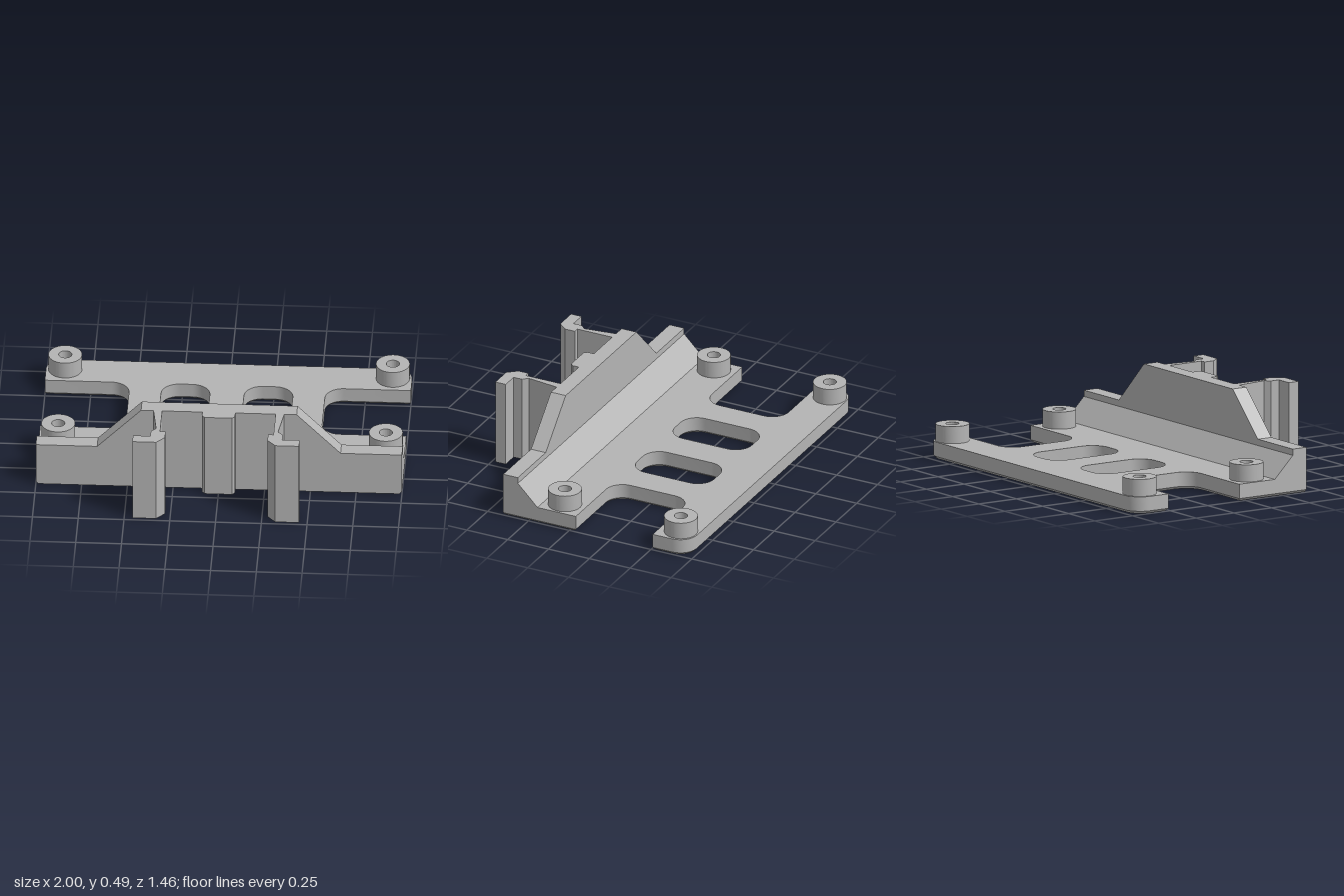
import * as THREE from 'three';
import { toCreasedNormals } from 'three/addons/utils/BufferGeometryUtils.js';

const FRONT = 0.405, PLATE_TOP = 0.095, WALL_TOP = 0.25, TOP = 0.49, CHAMFER = 0.015, HOLE = 0.036;
const POSTS = [[-0.895, -0.63], [0.895, -0.63], [-0.895, 0.08], [0.895, 0.08]];

// Plan outline from [x, z, cornerRadius] points; z is flipped so that the extrusion can be laid flat
function outline(points, path) {
  const v = points.map(([x, z]) => new THREE.Vector2(x, -z));
  const n = v.length;
  v.forEach((p, i) => {
    const r = points[i][2] || 0;
    const toward = (q, d) => p.clone().add(q.clone().sub(p).setLength(d));
    const prev = v[(i + n - 1) % n], next = v[(i + 1) % n];
    const a = r ? toward(prev, r) : p;
    if (i === 0) path.moveTo(a.x, a.y); else path.lineTo(a.x, a.y);
    if (r) {
      const c1 = toward(prev, r * 0.448), c2 = toward(next, r * 0.448), b = toward(next, r);
      path.bezierCurveTo(c1.x, c1.y, c2.x, c2.y, b.x, b.y);
    }
  });
  path.closePath();
  return path;
}

function circleHole(x, z) {
  return new THREE.Path().absarc(x, -z, HOLE, 0, Math.PI * 2, true);
}

// Extrude a plan shape upwards from y0
function layFlat(shape, y0, height, options = {}) {
  const g = new THREE.ExtrudeGeometry(shape, { depth: height, bevelEnabled: false, curveSegments: 12, ...options });
  return g.rotateX(-Math.PI / 2).translate(0, y0, 0);
}

export function createModel() {
  const group = new THREE.Group();
  const grey = new THREE.MeshStandardMaterial({ color: 0xb4b4b4 });
  grey.name = 'grey plastic';
  const add = (name, geometry) => {
    const mesh = new THREE.Mesh(toCreasedNormals(geometry, 0.5), grey);
    mesh.name = name;
    group.add(mesh);
  };

  // Base plate with side notches, slots and screw holes
  const r = 0.1, zb = -0.51, zf = -0.04;
  const plate = outline([
    [-1, FRONT], [1, FRONT], [1, zf], [0.535, zf, r], [0.535, zb, r], [1, zb], [1, -0.73, r],
    [-1, -0.73, r], [-1, zb], [-0.535, zb, r], [-0.535, zf, r], [-1, zf],
  ], new THREE.Shape());
  for (const s of [-1, 1]) {
    plate.holes.push(outline([
      [s * 0.093, zb, r], [s * 0.36, zb, r], [s * 0.36, zf, r], [s * 0.093, zf, r],
    ], new THREE.Path()));
  }
  for (const [x, z] of POSTS) plate.holes.push(circleHole(x, z));
  const split = CHAMFER + 0.002;
  add('basePlate', layFlat(plate, split, PLATE_TOP - split));

  // Chamfered underside; the front edge and the screw holes stay straight
  const under = layFlat(plate, CHAMFER, 0.002, {
    bevelEnabled: true, bevelSegments: 1, bevelSize: CHAMFER, bevelThickness: CHAMFER, bevelOffset: -CHAMFER,
  });
  const pos = under.attributes.position;
  for (let i = 0; i < pos.count; i++) {
    const x = pos.getX(i), z = pos.getZ(i);
    if (z > 0.38) pos.setZ(i, FRONT);
    for (const [px, pz] of POSTS) {
      const d = Math.hypot(x - px, z - pz);
      if (d < 0.065) {
        pos.setX(i, px + (x - px) * HOLE / d);
        pos.setZ(i, pz + (z - pz) * HOLE / d);
      }
    }
  }
  add('plateUnderside', under);

  // Screw posts
  for (const [x, z] of POSTS) {
    const ring = new THREE.Shape().absarc(x, -z, 0.092, 0, Math.PI * 2, false);
    ring.holes.push(circleHole(x, z));
    add('screwPost', layFlat(ring, PLATE_TOP, 0.095, { curveSegments: 32 }));
  }

  // Front wall with a sloped brace behind it
  const side = new THREE.Shape([
    [-FRONT, PLATE_TOP], [-0.195, PLATE_TOP], [-0.315, 0.215], [-0.315, WALL_TOP], [-FRONT, WALL_TOP],
  ].map(p => new THREE.Vector2(...p)));
  add('frontWall', new THREE.ExtrudeGeometry(side, { depth: 2, bevelEnabled: false })
    .rotateY(Math.PI / 2).translate(-1, 0, 0));

  // Raised middle of the wall
  const raised = new THREE.Shape([
    [-0.665, WALL_TOP], [0.665, WALL_TOP], [0.425, TOP], [-0.425, TOP],
  ].map(p => new THREE.Vector2(...p)));
  add('raisedWall', new THREE.ExtrudeGeometry(raised, { depth: FRONT - 0.315, bevelEnabled: false })
    .translate(0, 0, 0.315));

  // Hooked clips, mirrored
  const clip = [
    [0.31, FRONT], [0.357, FRONT], [0.333, 0.588], [0.36, 0.615], [0.36, 0.667], [0.455, 0.667],
    [0.455, 0.73], [0.325, 0.73], [0.28, 0.678], [0.28, 0.618], [0.31, 0.618],
  ];
  for (const s of [-1, 1]) {
    const shape = outline(clip.map(([x, z]) => [s * x, z]), new THREE.Shape());
    add(s > 0 ? 'leftClip' : 'rightClip', layFlat(shape, 0, TOP));
  }

  // Middle rib
  const rib = outline([
    [-0.09, FRONT], [0.09, FRONT], [0.09, 0.442], [0.075, 0.46], [-0.075, 0.46], [-0.09, 0.442],
  ], new THREE.Shape());
  add('middleRib', layFlat(rib, 0, TOP));

  return group;
}
